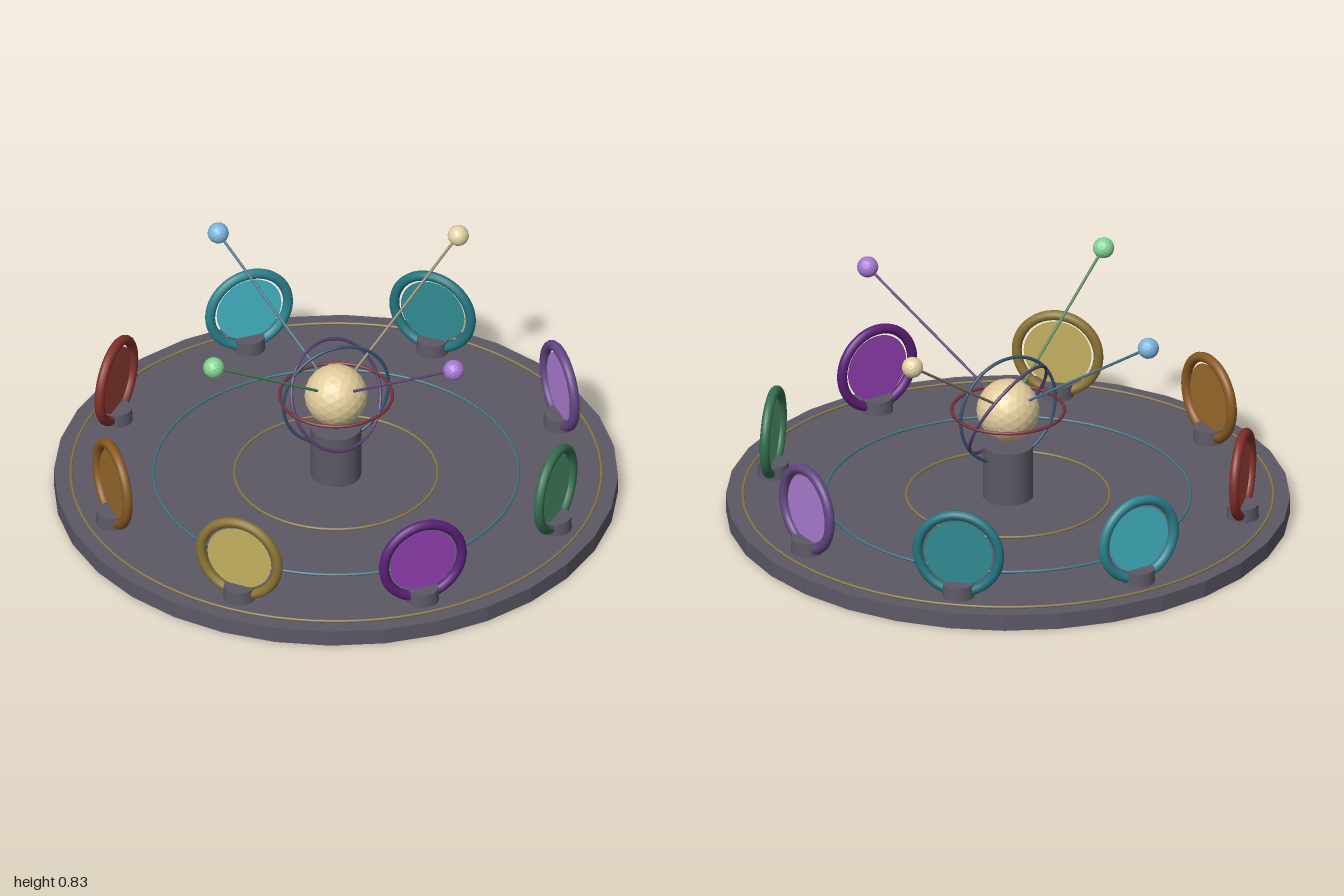
import * as THREE from 'three';

const CENTRE_Y = 0.395, TOP_Y = 0.06;

function paint(color, options = {}) {
  return new THREE.MeshStandardMaterial({ color, ...options });
}

function part(parent, name, geometry, material, x = 0, y = 0, z = 0) {
  const mesh = new THREE.Mesh(geometry, material);
  mesh.name = name;
  mesh.position.set(x, y, z);
  parent.add(mesh);
  return mesh;
}

export function createModel() {
  const model = new THREE.Group();
  model.name = 'portalPlatform';
  const stone = paint(0x5c5966, { flatShading: true });

  // Platform and central pedestal
  part(model, 'platform', new THREE.CylinderGeometry(1, 1, TOP_Y, 32), stone, 0, TOP_Y / 2, 0);
  part(model, 'pedestal', new THREE.CylinderGeometry(0.09, 0.09, 0.2, 16), paint(0x5c5966), 0, TOP_Y + 0.1, 0);

  // Thin rings inlaid in the floor
  for (const [radius, color] of [[0.94, 0x857648], [0.647, 0x3f7480], [0.36, 0x857648]]) {
    const ring = part(model, 'floorRing', new THREE.TorusGeometry(radius, 0.005, 8, 96), paint(color), 0, TOP_Y + 0.004, 0);
    ring.rotation.x = Math.PI / 2;
  }

  // Core globe with three orbit rings
  part(model, 'coreGlobe', new THREE.IcosahedronGeometry(0.112, 3),
    paint(0xe2cc9c, { flatShading: true }), 0, CENTRE_Y, 0);
  const orbits = [
    [0x7c3038, Math.PI / 2, 0],
    [0x35506e, 0, 0],
    [0x58406e, -Math.PI / 6, 0.35],
  ];
  for (const [color, rx, ry] of orbits) {
    const orbit = part(model, 'orbitRing', new THREE.TorusGeometry(0.2, 0.006, 8, 64), paint(color), 0, CENTRE_Y, 0);
    orbit.rotation.set(rx, ry, 0);
  }

  // Eight portals facing the centre, counted from the front towards +x: [frame, pane]
  const portals = [
    [0x5c1f78, 0x9440b4],
    [0x34704f, 0x58a67c],
    [0x644685, 0xac7cd2],
    [0x23747e, 0x2f8a92],
    [0x2c8490, 0x44bccb],
    [0x82302a, 0xa8473c],
    [0x8a5a22, 0x9a6a2c],
    [0x8a7434, 0xc4b060],
  ];
  const frameGeometry = new THREE.TorusGeometry(0.148, 0.018, 12, 48);
  const paneGeometry = new THREE.CircleGeometry(0.123, 40);
  const footGeometry = new THREE.CylinderGeometry(0.055, 0.058, 0.05, 16);
  portals.forEach(([frameColor, paneColor], i) => {
    const angle = i * Math.PI / 4;
    const portal = new THREE.Group();
    portal.name = 'portal';
    portal.position.set(0.85 * Math.sin(angle), 0, 0.85 * Math.cos(angle));
    portal.rotation.y = angle;
    part(portal, 'portalFrame', frameGeometry, paint(frameColor), 0, 0.225, 0);
    part(portal, 'portalPane', paneGeometry, paint(paneColor, { side: THREE.DoubleSide }), 0, 0.225, 0);
    part(portal, 'portalFoot', footGeometry, paint(0x5c5966), 0, TOP_Y + 0.025, 0);
    model.add(portal);
  });

  // Four small satellites on rods from the core
  const core = new THREE.Vector3(0, CENTRE_Y, 0);
  const satellites = [
    [0.555, -0.232, 0xe2d3a4, 0x8a8064],
    [-0.232, -0.555, 0x7ab4dc, 0x4c748c],
    [-0.555, 0.232, 0x86d494, 0x54885e],
    [0.232, 0.555, 0xa878d4, 0x664a80],
  ];
  for (const [x, z, ballColor, rodColor] of satellites) {
    const end = new THREE.Vector3(x, 0.795, z);
    part(model, 'satellite', new THREE.IcosahedronGeometry(0.038, 2),
      paint(ballColor, { flatShading: true }), x, 0.795, z);
    const rod = part(model, 'satelliteRod',
      new THREE.CylinderGeometry(0.005, 0.005, core.distanceTo(end), 8), paint(rodColor));
    rod.position.copy(core).lerp(end, 0.5);
    rod.quaternion.setFromUnitVectors(new THREE.Vector3(0, 1, 0), end.sub(core).normalize());
  }

  return model;
}
